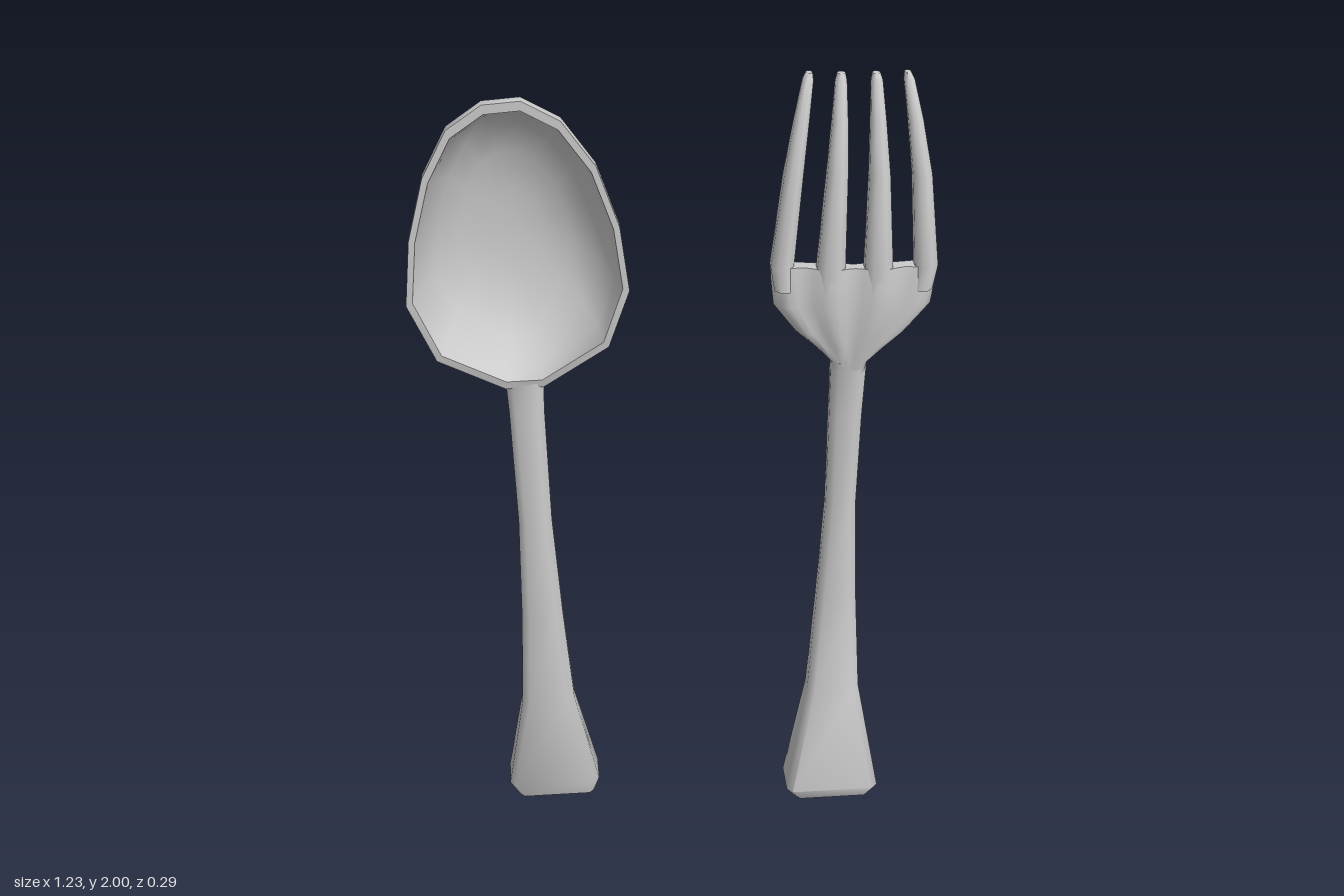
import * as THREE from 'three';
import { toCreasedNormals } from 'three/addons/utils/BufferGeometryUtils.js';

const material = new THREE.MeshStandardMaterial({ color: 0xcccccc });

// Skin a list of equal-length point rings and close both ends with fans
function loft(name, rings) {
  const n = rings[0].length, pos = rings.flat(2), index = [];
  for (let i = 0; i < rings.length - 1; i++) {
    for (let j = 0; j < n; j++) {
      const a = i * n + j, b = i * n + (j + 1) % n, c = a + n, d = b + n;
      index.push(a, c, b, b, c, d);
    }
  }
  for (const [row, flip] of [[0, false], [rings.length - 1, true]]) {
    const centre = pos.length / 3;
    for (let k = 0; k < 3; k++) pos.push(rings[row].reduce((s, p) => s + p[k], 0) / n);
    for (let j = 0; j < n; j++) {
      const a = row * n + j, b = row * n + (j + 1) % n;
      if (flip) index.push(centre, b, a); else index.push(centre, a, b);
    }
  }
  const geo = new THREE.BufferGeometry();
  geo.setAttribute('position', new THREE.Float32BufferAttribute(pos, 3));
  geo.setIndex(index);
  const mesh = new THREE.Mesh(toCreasedNormals(geo, 1.0), material);
  mesh.name = name;
  return mesh;
}

// Horizontal chamfered rectangle: centre x/z, half width, half depth, chamfer share
function bar(y, cx, hw, cz, hd, chamfer) {
  const c = Math.min(hw, hd) * chamfer;
  return [
    [hw, -hd + c], [hw, hd - c], [hw - c, hd], [-hw + c, hd],
    [-hw, hd - c], [-hw, -hd + c], [-hw + c, -hd], [hw - c, -hd],
  ].map(([x, z]) => [cx + x, y, cz + z]);
}

function createSpoon() {
  const spoon = new THREE.Group();
  spoon.name = 'spoon';
  spoon.add(loft('spoonHandle', [
    bar(0, -0.32, 0.1, 0, 0.04, 0.3),
    bar(0.05, -0.325, 0.12, -0.003, 0.052, 0.25),
    bar(0.34, -0.332, 0.068, 0.03, 0.036, 0.5),
    bar(0.62, -0.338, 0.052, 0.036, 0.03, 0.6),
    bar(0.9, -0.345, 0.041, 0.027, 0.028, 0.6),
    bar(1.2, -0.353, 0.042, 0.008, 0.026, 0.6),
    bar(1.29, -0.355, 0.045, 0.006, 0.026, 0.6),
  ]));

  // Bowl: the rim outline is shrunk and pushed back, outside then inside
  const rim = [
    [-0.42, 1.995], [-0.335, 2], [-0.25, 1.95], [-0.175, 1.84], [-0.125, 1.69],
    [-0.105, 1.53], [-0.155, 1.385], [-0.31, 1.275], [-0.4, 1.275], [-0.555, 1.37],
    [-0.615, 1.52], [-0.598, 1.68], [-0.558, 1.83], [-0.5, 1.94],
  ];
  const cx = -0.36, cy = 1.63;
  const profile = [
    [0.3, -0.143], [0.58, -0.122], [0.8, -0.078], [0.94, -0.02], [1, 0.03], [1, 0.056],
    [0.94, 0.056], [0.88, 0], [0.74, -0.06], [0.52, -0.1], [0.25, -0.118],
  ];
  spoon.add(loft('spoonBowl', profile.map(([s, z]) => rim.map(([x, y]) => {
    const px = cx + (x - cx) * s, py = cy + (y - cy) * s;
    const drop = z > 0 ? Math.max(0, 1.4 - py) * 0.2 : 0;
    return [px, py, z - drop - (px - cx) * 0.03];
  }))));
  return spoon;
}

function createFork() {
  const fork = new THREE.Group(), mid = 0.418;
  fork.name = 'fork';
  // The head turns slightly and its sides sweep back
  const sweep = (x) => { const u = (x - mid) / 0.193; return 0.011 * u - 0.018 * u * u; };

  fork.add(loft('forkHandle', [
    bar(0.015, 0.42, 0.1, 0.085, 0.043, 0.3),
    bar(0.05, 0.418, 0.122, 0.083, 0.057, 0.25),
    bar(0.34, 0.418, 0.068, 0.037, 0.036, 0.5),
    bar(0.62, 0.418, 0.051, 0.018, 0.03, 0.6),
    bar(0.9, 0.418, 0.038, 0.009, 0.028, 0.6),
    bar(1.15, 0.418, 0.04, 0.006, 0.028, 0.6),
    bar(1.31, 0.418, 0.043, 0.012, 0.028, 0.6),
  ]));

  // Palm: flattened sections with grooves that deepen between the tines
  const steps = 20;
  const palmRing = ([y, hw, cz, hd, groove]) => {
    const front = [], back = [];
    for (let i = 0; i <= steps; i++) {
      const u = 1 - 2 * i / steps, x = mid + u * hw;
      const dip = 1 - groove * (0.5 + 0.5 * Math.cos(2 * Math.PI * u / 0.6));
      const t = hd * dip * Math.max(0.2, Math.sqrt(1 - u ** 6));
      front.push([x, y, cz + sweep(x) + t]);
      back.unshift([x, y, cz + sweep(x) - t]);
    }
    return [...front, ...back];
  };
  fork.add(loft('forkPalm', [
    [1.28, 0.04, 0.01, 0.027, 0], [1.31, 0.045, 0.013, 0.03, 0.05],
    [1.35, 0.085, 0.018, 0.031, 0.15], [1.39, 0.13, 0.023, 0.032, 0.25],
    [1.46, 0.184, 0.029, 0.031, 0.4], [1.52, 0.191, 0.029, 0.029, 0.5],
    [1.56, 0.193, 0.027, 0.026, 0.55],
  ].map(palmRing)));

  // Tines: offsets from the middle and half widths at each height, mirrored
  const heights = [[1.5, 0.029, 0.027], [1.56, 0.028, 0.028], [1.78, 0.01, 0.025],
    [1.9, -0.018, 0.019], [1.985, -0.046, 0.013], [2, -0.052, 0.009]];
  const tines = {
    outer: [[0.16, 0.024], [0.167, 0.027], [0.146, 0.022], [0.128, 0.017], [0.113, 0.012], [0.11, 0.007]],
    inner: [[0.055, 0.03], [0.055, 0.033], [0.048, 0.024], [0.043, 0.018], [0.04, 0.013], [0.039, 0.009]],
  };
  for (const [kind, rows] of Object.entries(tines)) {
    for (const side of [1, -1]) {
      fork.add(loft(`${kind}Tine${side > 0 ? 'Left' : 'Right'}`, heights.map(([y, z, hd], i) => {
        const x = mid + side * rows[i][0];
        return bar(y, x, rows[i][1], z + sweep(x), hd, 0.6);
      })));
    }
  }
  return fork;
}

export function createModel() {
  const model = new THREE.Group();
  model.name = 'cutlery';
  model.add(createSpoon(), createFork());
  return model;
}
